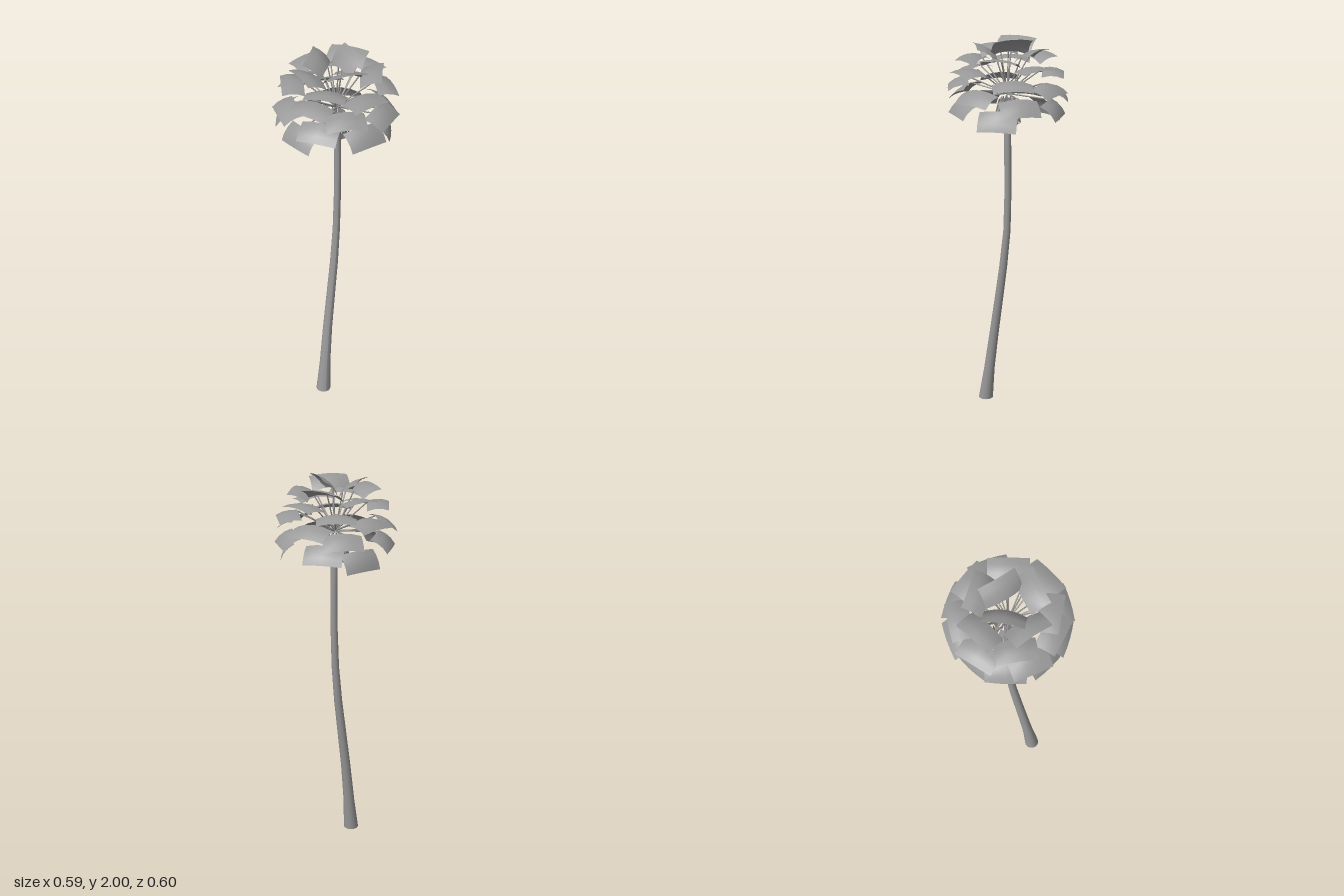
import * as THREE from 'three';

const grey = new THREE.MeshStandardMaterial({ color: 0x999999, side: THREE.DoubleSide });
grey.name = 'plainGrey';

function add(parent, geometry, name) {
  const mesh = new THREE.Mesh(geometry, grey);
  mesh.name = name;
  parent.add(mesh);
  return mesh;
}

// Trunk: rings of an open cylinder moved along a leaning, tapering path
function trunkGeometry() {
  // height, centre x, centre z, radius
  const rows = [
    [0, -0.113, 0.1, 0.039], [0.18, -0.096, 0.083, 0.029], [0.4, -0.072, 0.06, 0.025],
    [0.6, -0.046, 0.039, 0.023], [0.8, -0.02, 0.019, 0.021], [1, -0.001, 0.003, 0.019],
    [1.2, 0.006, -0.001, 0.018], [1.4, 0.007, 0, 0.018], [1.68, 0.004, 0, 0.017],
  ];
  const g = new THREE.CylinderGeometry(1, 1, 1, 14, rows.length - 1, true);
  const p = g.attributes.position;
  for (let i = 0; i < p.count; i++) {
    const [y, x, z, r] = rows[Math.round((p.getY(i) + 0.5) * (rows.length - 1))];
    p.setXYZ(i, x + p.getX(i) * r, y, z + p.getZ(i) * r);
  }
  g.computeVertexNormals();
  return g;
}

// Blade: wide sheet that droops along its length, its sides sagging most near the stalk
function bladeGeometry(inner, outer, width) {
  const g = new THREE.PlaneGeometry(2, 1, 4, 3);
  const p = g.attributes.position;
  const along = outer.clone().sub(inner);
  const up = new THREE.Vector3(-along.y, along.x, 0).normalize();
  const point = new THREE.Vector3();
  for (let i = 0; i < p.count; i++) {
    const u = p.getX(i), v = 0.5 - p.getY(i);
    const lift = 0.045 * v * (1 - v) - THREE.MathUtils.lerp(0.024, 0.011, v) * u * u;
    point.copy(inner).addScaledVector(along, v).addScaledVector(up, lift);
    p.setXYZ(i, point.x, point.y, -u * width / 2);
  }
  g.computeVertexNormals();
  return g;
}

// Rod: slim straight tube between two points
function rodGeometry(a, b) {
  return new THREE.TubeGeometry(new THREE.LineCurve3(a, b), 1, 0.0035, 5);
}

export function createModel() {
  const model = new THREE.Group();
  model.name = 'palmTree';
  add(model, trunkGeometry(), 'trunk');

  // Crown base: ring of short husks with gaps between them
  const husks = new THREE.Group();
  husks.name = 'crownHusks';
  model.add(husks);
  for (let i = 0; i < 10; i++) {
    const start = (i / 10) * Math.PI * 2;
    const lower = add(husks, new THREE.CylinderGeometry(0.07, 0.06, 0.05, 2, 1, true, start, 0.5), 'lowerHusk');
    lower.position.y = 1.595;
    const upper = add(husks, new THREE.CylinderGeometry(0.045, 0.062, 0.07, 2, 1, true, start + 0.3, 0.5), 'upperHusk');
    upper.position.y = 1.652;
    const a = start + 0.25;
    add(husks, rodGeometry(
      new THREE.Vector3(Math.sin(a) * 0.066, 1.575, Math.cos(a) * 0.066),
      new THREE.Vector3(Math.sin(a) * 0.03, 1.7, Math.cos(a) * 0.03)), 'huskRib');
  }

  // Fronds: one shape repeated in a spiral from the top of a sphere downwards
  const inner = new THREE.Vector3(0.205, 0.053, 0);
  const outer = new THREE.Vector3(0.295, -0.003, 0);
  const blade = bladeGeometry(inner, outer, 0.192);
  const stalk = rodGeometry(new THREE.Vector3(), inner);
  // headings in degrees, 0 = +x, 90 = +z
  const headings = [
    352, 214, 90, 312, 170, 25, 248, 125, 332, 195, 72, 282, 141, 4,
    238, 100, 313, 181, 48, 275, 130, 356, 207, 76, 297, 158, 22, 250,
  ];
  headings.forEach((deg, i) => {
    const frond = new THREE.Group();
    frond.name = 'frond';
    frond.position.y = 1.72;
    frond.rotation.order = 'YZX';
    frond.rotation.y = -THREE.MathUtils.degToRad(deg);
    frond.rotation.z = Math.asin(0.955 - 0.0532 * i);
    add(frond, blade, 'blade');
    add(frond, stalk, 'stalk');
    model.add(frond);
  });
  return model;
}
